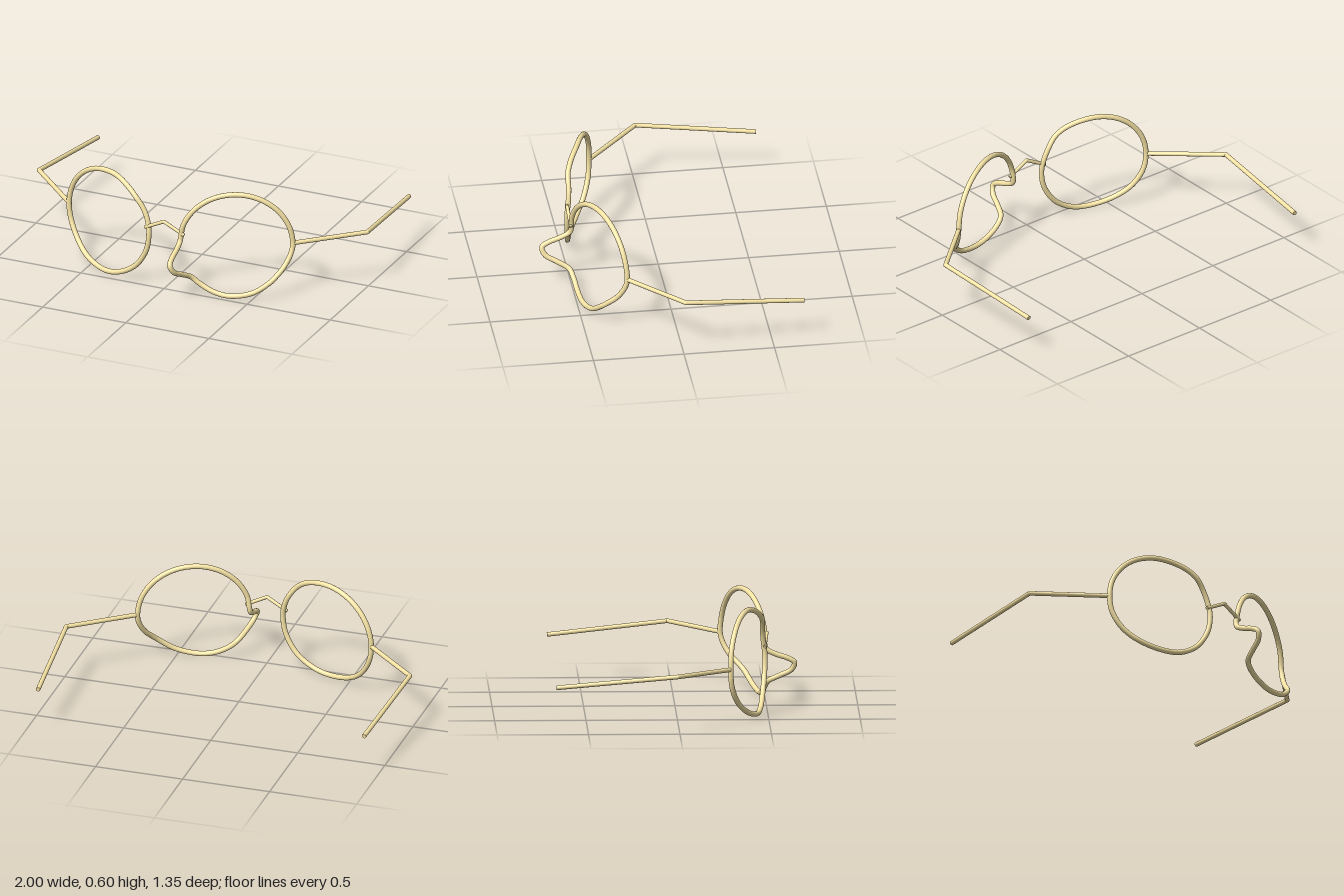
import * as THREE from 'three';

const gold = new THREE.MeshStandardMaterial({ color: 0xf6e3a4 });
const CX = 0.382, CY = 0.3, R = 0.286, WIRE = 0.0145;

// Depth around each rim as [angle in degrees, z]; 0 is the outer side,
// 180 the nose side. The left rim is bent forward near the nose.
const leftDepth = [
  [0, 0.266], [20, 0.274], [40, 0.294], [60, 0.325], [80, 0.363], [100, 0.404], [120, 0.442],
  [140, 0.473], [160, 0.493], [180, 0.5], [186, 0.55], [191, 0.62], [196, 0.657], [205, 0.642],
  [213, 0.58], [222, 0.515], [233, 0.497], [251, 0.485], [270, 0.47], [295, 0.437], [316, 0.395],
  [325, 0.363], [335, 0.32], [349, 0.28],
];
const rightDepth = [
  [0, 0.288], [20, 0.291], [40, 0.308], [60, 0.334], [80, 0.368], [100, 0.405], [120, 0.45],
  [135, 0.473], [150, 0.475], [165, 0.481], [180, 0.489], [200, 0.487], [225, 0.475], [250, 0.46],
  [270, 0.438], [297, 0.38], [319, 0.326], [341, 0.294],
];

// Rim: round from the front, with its depth following the bent wire
function rim(name, side, depth) {
  const points = depth.map(([deg, z]) => {
    const a = THREE.MathUtils.degToRad(deg);
    return new THREE.Vector3(side * (CX + R * Math.cos(a)), CY + R * Math.sin(a), z);
  });
  const curve = new THREE.CatmullRomCurve3(points, true);
  const mesh = new THREE.Mesh(new THREE.TubeGeometry(curve, 200, WIRE, 14, true), gold);
  mesh.name = name;
  return mesh;
}

// Straight wires through the given points, with round joints at the bends
function bentWire(name, radius, coords) {
  const group = new THREE.Group();
  group.name = name;
  const pts = coords.map((c) => new THREE.Vector3(...c));
  for (let i = 0; i < pts.length - 1; i++) {
    const dir = pts[i + 1].clone().sub(pts[i]);
    const rod = new THREE.Mesh(new THREE.CylinderGeometry(radius, radius, dir.length(), 14), gold);
    rod.position.copy(pts[i]).addScaledVector(dir, 0.5);
    rod.quaternion.setFromUnitVectors(new THREE.Vector3(0, 1, 0), dir.normalize());
    rod.name = name + 'Rod';
    group.add(rod);
    if (i > 0) {
      const joint = new THREE.Mesh(new THREE.SphereGeometry(radius, 14, 10), gold);
      joint.position.copy(pts[i]);
      joint.name = name + 'Joint';
      group.add(joint);
    }
  }
  return group;
}

export function createModel() {
  const model = new THREE.Group();
  model.name = 'spectacles';

  model.add(rim('leftRim', 1, leftDepth));
  model.add(rim('rightRim', -1, rightDepth));

  // Peaked nose bridge
  model.add(bentWire('bridge', 0.01, [[-0.12, 0.341, 0.488], [0, 0.402, 0.502], [0.121, 0.341, 0.498]]));

  // Temple arms: outward from the rim, then back
  for (const [name, s, z] of [['leftTemple', 1, 0.266], ['rightTemple', -1, 0.288]]) {
    model.add(bentWire(name, 0.0125, [[s * 0.668, 0.303, z], [s * 0.987, 0.314, -0.013], [s * 0.936, 0.249, -0.673]]));
  }
  return model;
}
